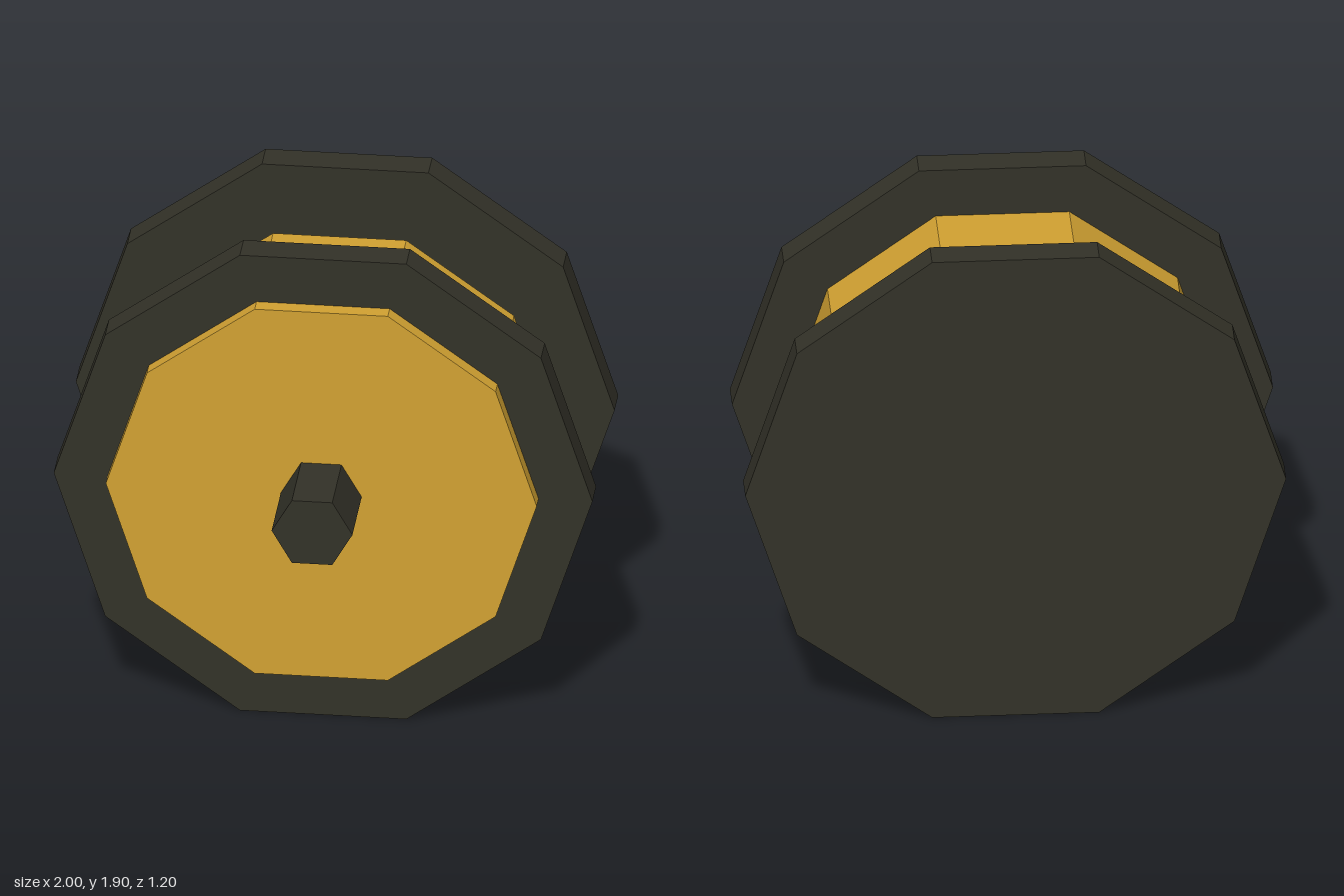
import * as THREE from 'three';
import { ConvexGeometry } from 'three/addons/geometries/ConvexGeometry.js';

const CENTRE_Y = 0.951;

// Faceted disc along z, with corners pointing to +x and -x
function disc(name, radius, sides, zBack, zFront, material) {
  const depth = zFront - zBack;
  const geometry = new THREE.CylinderGeometry(radius, radius, depth, sides, 1, false, Math.PI / 2);
  geometry.rotateX(Math.PI / 2);
  const mesh = new THREE.Mesh(geometry.toNonIndexed(), material);
  mesh.geometry.computeVertexNormals();
  mesh.position.set(0, CENTRE_Y, (zBack + zFront) / 2);
  mesh.name = name;
  return mesh;
}

// Box with every edge cut off by one flat chamfer
function chamferedBox(width, height, depth, chamfer) {
  const half = [width / 2, height / 2, depth / 2];
  const points = [];
  for (const sx of [-1, 1]) for (const sy of [-1, 1]) for (const sz of [-1, 1]) {
    const sign = [sx, sy, sz];
    for (let face = 0; face < 3; face++) {
      const p = half.map((h, i) => sign[i] * (i === face ? h : h - chamfer));
      points.push(new THREE.Vector3(...p));
    }
  }
  return new ConvexGeometry(points);
}

export function createModel() {
  const group = new THREE.Group();
  group.name = 'wheelDrum';

  const gold = new THREE.MeshStandardMaterial({ color: 0xd2a232 });
  gold.name = 'gold';
  const dark = new THREE.MeshStandardMaterial({ color: 0x333228 });
  dark.name = 'darkOlive';

  // Drum, its front rim, the separate back plate and the hub
  group.add(
    disc('drum', 0.8, 10, -0.3, 0.3, gold),
    disc('frontRim', 1, 10, 0.12, 0.24, dark),
    disc('backPlate', 1, 10, -0.6, -0.48, dark),
    disc('hub', 0.15, 6, 0, 0.6, dark),
  );

  // Chamfered block set into the lower back of the drum
  const block = new THREE.Mesh(chamferedBox(0.9, 0.3, 0.4, 0.06), dark);
  block.position.set(0, 0.3, -0.2);
  block.name = 'lowerBlock';
  group.add(block);

  return group;
}
